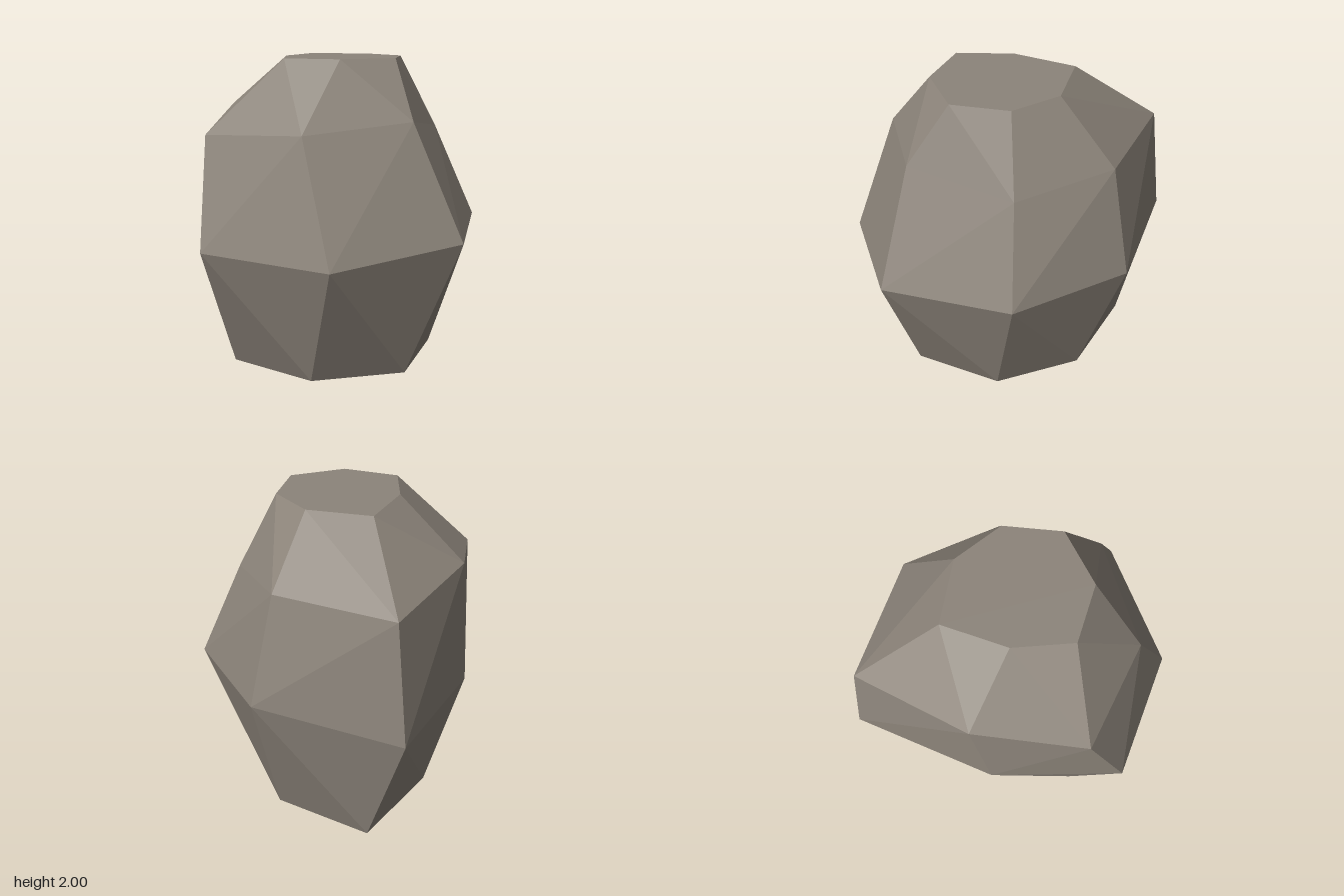
import * as THREE from 'three';

// Four seven-sided rings, listed from the bottom up, each point [x, y, z]
const RINGS = [
  [[-0.69, 0, -0.62], [-0.03, 0, -0.72], [0.48, 0, -0.41], [0.64, 0, 0.17],
    [0.23, 0, 0.63], [-0.39, 0, 0.66], [-0.66, 0, 0.08]],
  [[-1, 0.85, -0.69], [-0.09, 0.92, -1], [0.66, 0.91, -0.67], [1, 0.905, 0.1],
    [0.52, 0.81, 0.82], [-0.34, 0.83, 1], [-0.82, 0.79, 0.27]],
  [[-0.89, 1.6, -0.64], [-0.13, 1.61, -0.82], [0.44, 1.53, -0.5], [0.66, 1.63, 0.15],
    [0.23, 1.57, 0.7], [-0.48, 1.53, 0.78], [-0.82, 1.66, 0.15]],
  [[-0.45, 2, -0.28], [-0.07, 2, -0.44], [0.26, 2, -0.33], [0.43, 2, 0],
    [0.24, 2, 0.33], [-0.12, 2, 0.43], [-0.35, 2, 0.13]],
];

function boulderGeometry() {
  const n = RINGS[0].length;
  const index = [];
  // Bands between rings; the diagonal flips on the middle band
  for (let r = 0; r < RINGS.length - 1; r++) {
    for (let i = 0; i < n; i++) {
      const j = (i + 1) % n;
      const a = r * n + i, b = r * n + j, c = a + n, d = b + n;
      if (r === 1) index.push(a, c, b, c, d, b);
      else index.push(a, c, d, a, d, b);
    }
  }
  // Flat base and crown
  const top = (RINGS.length - 1) * n;
  for (let i = 1; i < n - 1; i++) {
    index.push(0, i, i + 1, top, top + i + 1, top + i);
  }
  const indexed = new THREE.BufferGeometry();
  indexed.setAttribute('position', new THREE.Float32BufferAttribute(RINGS.flat(2), 3));
  indexed.setIndex(index);
  const geometry = indexed.toNonIndexed(); // separate corners give faceted normals
  geometry.computeVertexNormals();
  return geometry;
}

export function createModel() {
  const stone = new THREE.MeshStandardMaterial({ color: 0x8c847a, flatShading: true });
  stone.name = 'stone grey';
  const boulder = new THREE.Mesh(boulderGeometry(), stone);
  boulder.name = 'boulder';
  const group = new THREE.Group();
  group.name = 'rock';
  group.add(boulder);
  return group;
}
